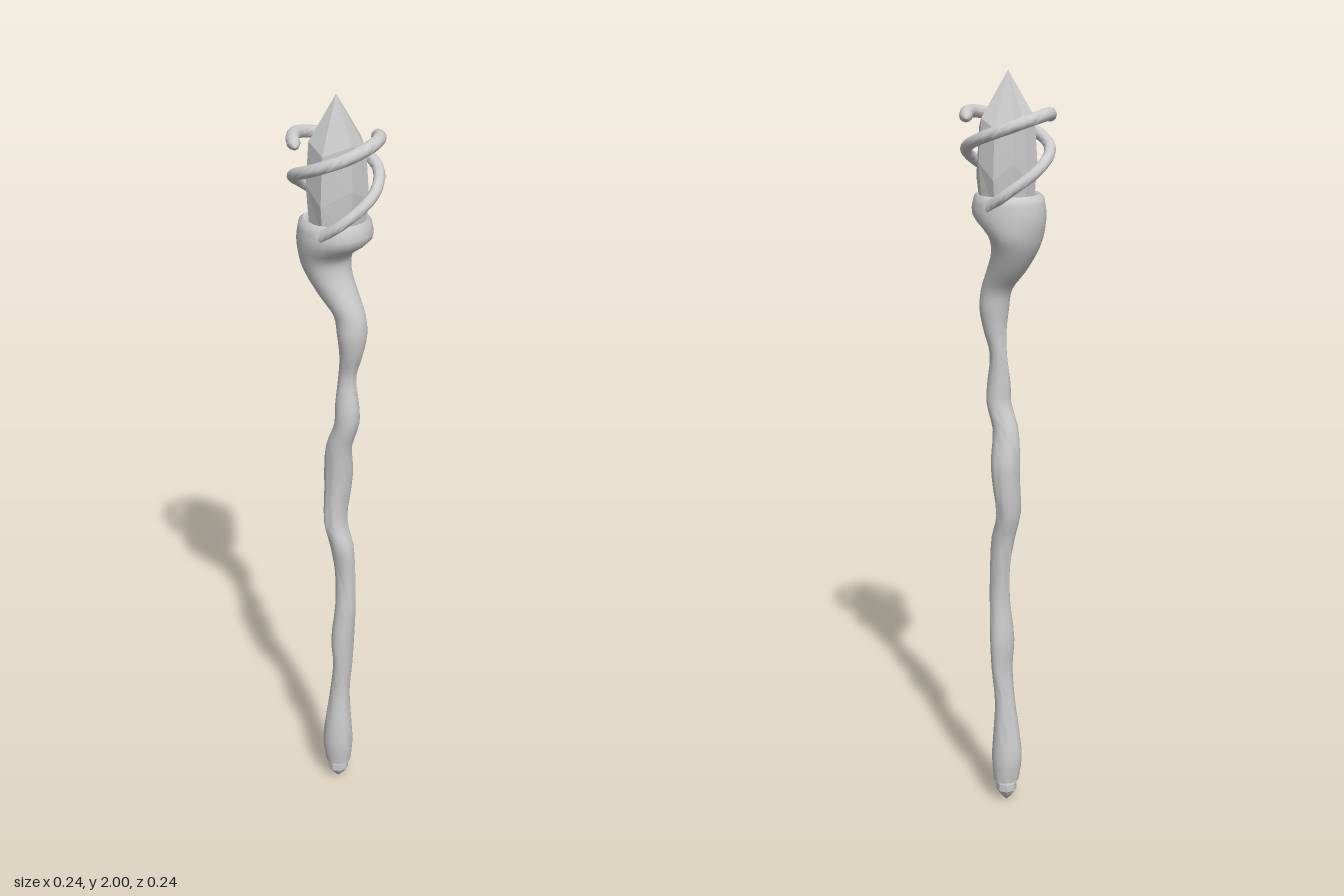
import * as THREE from 'three';
import { toCreasedNormals } from 'three/addons/utils/BufferGeometryUtils.js';

// Skin a list of closed cross-section rings (arrays of Vector3, counter-clockwise about the path)
function skin(rings, crease) {
  const n = rings[0].length;
  const index = [];
  for (let i = 0; i < rings.length - 1; i++) {
    for (let j = 0; j < n; j++) {
      const k = (j + 1) % n;
      const a = i * n + j, b = i * n + k, c = b + n, d = a + n;
      index.push(a, b, d, b, c, d);
    }
  }
  const g = new THREE.BufferGeometry().setFromPoints(rings.flat());
  g.setIndex(index);
  return toCreasedNormals(g, crease);
}

// Ring around a centre in the plane of u and v
function ring(center, u, v, ru, rv, sides) {
  return Array.from({ length: sides }, (_, j) => {
    const a = (j / sides) * Math.PI * 2;
    return center.clone().addScaledVector(u, ru * Math.cos(a)).addScaledVector(v, rv * Math.sin(a));
  });
}

const X = new THREE.Vector3(1, 0, 0);
const Z = new THREE.Vector3(0, 0, 1);

// Gnarled shaft: [height, centre x, radius x, centre z, radius z]
const SHAFT = [
  [0.065, 0.012, 0.035, 0.005, 0.035], [0.13, 0.011, 0.042, 0.007, 0.041],
  [0.2, 0.013, 0.037, 0.008, 0.037], [0.3, 0.016, 0.027, 0.005, 0.029],
  [0.4, 0.024, 0.024, 0.002, 0.033], [0.48, 0.024, 0.029, 0.003, 0.037],
  [0.6, 0.033, 0.028, 0.003, 0.027], [0.7, 0.029, 0.029, 0, 0.024],
  [0.78, 0.021, 0.032, 0.004, 0.03], [0.85, 0.001, 0.028, 0.003, 0.037],
  [0.95, 0.003, 0.034, -0.005, 0.04], [1.0, 0.005, 0.037, -0.005, 0.04],
  [1.08, 0.013, 0.034, 0.005, 0.034], [1.15, 0.036, 0.032, 0.004, 0.033],
  [1.2, 0.037, 0.032, 0.005, 0.029], [1.28, 0.034, 0.024, 0, 0.02],
  [1.34, 0.045, 0.029, 0, 0.03], [1.4, 0.048, 0.037, 0, 0.04],
  [1.45, 0.04, 0.04, 0, 0.04], [1.5, 0.008, 0.05, 0, 0.05],
  [1.56, -0.024, 0.055, 0, 0.066], [1.6, -0.03, 0.062, -0.002, 0.08],
  [1.65, -0.004, 0.094, 0, 0.093], [1.69, -0.003, 0.089, 0, 0.089],
];

function shaftGeometry() {
  const path = new THREE.CatmullRomCurve3(SHAFT.map(([y, x, , z]) => new THREE.Vector3(x, y, z)));
  const radii = new THREE.CatmullRomCurve3(SHAFT.map(([y, , rx, , rz]) => new THREE.Vector3(rx, y, rz)));
  const rings = [ring(path.getPoint(0), Z, X, 0.0005, 0.0005, 20)];
  const steps = (SHAFT.length - 1) * 3;
  for (let i = 0; i <= steps; i++) {
    const r = radii.getPoint(i / steps);
    rings.push(ring(path.getPoint(i / steps), Z, X, r.z, r.x, 20));
  }
  // rounded rim and shallow socket floor
  for (const [y, r] of [[1.7, 0.08], [1.695, 0.07], [1.675, 0.06], [1.67, 0.0005]]) {
    rings.push(ring(new THREE.Vector3(0, y, 0), Z, X, r, r, 20));
  }
  return skin(rings, 0.9);
}

// Faceted crystal: one irregular outline scaled up the height, ending in a point
function crystalGeometry() {
  const outline = [
    [0, 0.067], [0.064, 0.026], [0.066, -0.045], [0.03, -0.075],
    [-0.02, -0.076], [-0.06, -0.042], [-0.064, 0], [-0.058, 0.044],
  ];
  const levels = [[1.66, 0.88, 0], [1.76, 1, 0.02], [1.875, 0.9, 0.012], [2, 0.001, 0]];
  const rings = levels.map(([y, s, wobble]) =>
    outline.map(([x, z], j) => new THREE.Vector3(x * s, y + (j % 2 ? wobble : -wobble), z * s)));
  return skin(rings, 0.01);
}

// Climbing tendril: [angle in degrees from the front, height, distance from axis]
function tendrilGeometry() {
  const stops = [
    [5, 1.672, 0.085], [40, 1.71, 0.094], [90, 1.768, 0.103], [135, 1.81, 0.104],
    [180, 1.842, 0.104], [225, 1.872, 0.103], [270, 1.893, 0.102], [300, 1.896, 0.103],
    [332, 1.885, 0.109],
  ];
  const path = new THREE.CatmullRomCurve3(stops.map(([deg, y, r]) => {
    const a = THREE.MathUtils.degToRad(deg);
    return new THREE.Vector3(r * Math.sin(a), y, r * Math.cos(a));
  }));
  const rings = [];
  const steps = 60;
  for (let i = 0; i <= steps; i++) {
    const t = i / steps;
    const p = path.getPoint(t);
    const tangent = path.getTangent(t);
    const u = new THREE.Vector3(p.x, 0, p.z);
    u.addScaledVector(tangent, -u.dot(tangent)).normalize();
    const v = tangent.clone().cross(u);
    // blunt taper over the last few steps
    const r = (0.013 + 0.004 * t) * Math.sqrt(Math.min(1, (steps - i) / 3 + 0.0005));
    rings.push(ring(p, u, v, r, r, 12));
  }
  return skin(rings, 0.9);
}

export function createModel() {
  const model = new THREE.Group();
  model.name = 'staff';
  const smooth = new THREE.MeshStandardMaterial({ color: 0xcccccc });
  const faceted = new THREE.MeshStandardMaterial({ color: 0xcccccc, flatShading: true });
  const add = (name, geometry, material) => {
    const mesh = new THREE.Mesh(geometry, material);
    mesh.name = name;
    model.add(mesh);
    return mesh;
  };

  add('shaft', shaftGeometry(), smooth);
  add('crystal', crystalGeometry(), faceted);

  // Two matching tendrils, half a turn apart
  const tendril = tendrilGeometry();
  add('frontTendril', tendril, smooth);
  add('backTendril', tendril, smooth).rotation.y = Math.PI;

  // Small cut stone at the foot
  const stone = [[0, 0.0005], [0.02, 0.019], [0.035, 0.029], [0.055, 0.029], [0.075, 0.022]]
    .map(([y, r]) => ring(new THREE.Vector3(0.011, y, 0.005), Z, X, r, r, 8));
  add('footStone', skin(stone, 0.01), faceted);

  return model;
}
